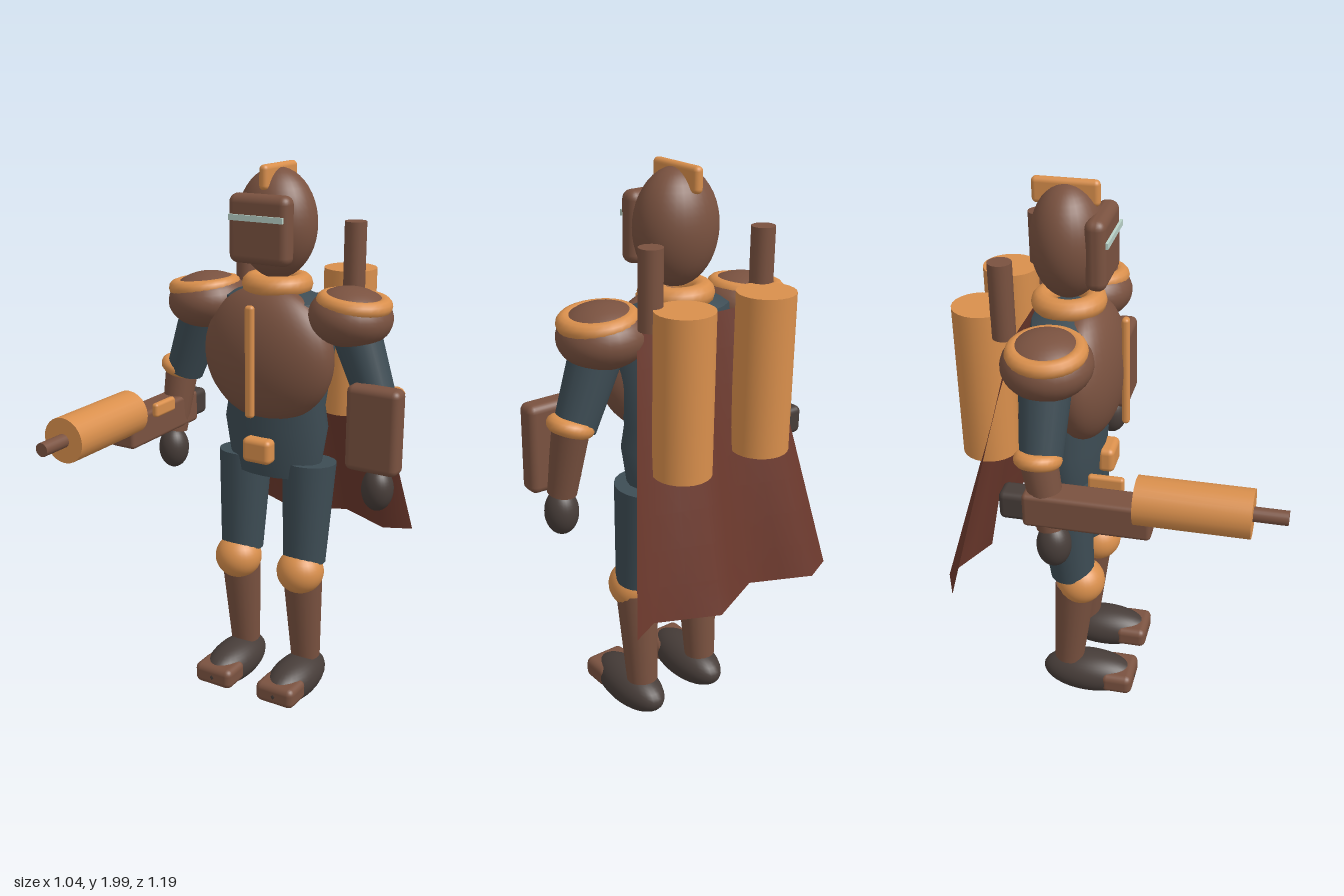
import * as THREE from 'three';
import { toCreasedNormals } from 'three/addons/utils/BufferGeometryUtils.js';
import { RoundedBoxGeometry } from 'three/addons/geometries/RoundedBoxGeometry.js';

function mat(name, color, side = THREE.FrontSide) {
  const m = new THREE.MeshStandardMaterial({ color, side });
  m.name = name;
  return m;
}

export function createModel() {
  const brown = mat('brown armour', 0x7a5240);
  const brass = mat('brass', 0xd98f4c);
  const slate = mat('slate suit', 0x3d4c54);
  const dark = mat('dark leather', 0x473d39);
  const red = mat('cape red', 0x6b382c, THREE.DoubleSide);
  const pale = mat('pale visor', 0xb9d2c8);

  const model = new THREE.Group();
  model.name = 'armouredSoldier';
  const CX = -0.012; // body axis

  function add(name, geo, material, x, y, z, parent = model) {
    const mesh = new THREE.Mesh(geo, material);
    mesh.name = name;
    mesh.position.set(x, y, z);
    parent.add(mesh);
    return mesh;
  }
  const ellipsoid = (rx, ry, rz, seg = 28) =>
    new THREE.SphereGeometry(1, seg, Math.round(seg * 0.7)).scale(rx, ry, rz);
  const ring = (r, tube) => new THREE.TorusGeometry(r, tube, 12, 28).rotateX(Math.PI / 2);
  const box = (w, h, d, r) => new RoundedBoxGeometry(w, h, d, 3, r);

  // Tapered cylinder between two points
  function limb(name, a, b, ra, rb, material, parent = model) {
    const p = new THREE.Vector3(...a), q = new THREE.Vector3(...b);
    const dir = p.clone().sub(q);
    const geo = new THREE.CylinderGeometry(ra, rb, dir.length(), 20);
    const mid = p.clone().add(q).multiplyScalar(0.5);
    const mesh = add(name, geo, material, mid.x, mid.y, mid.z, parent);
    mesh.quaternion.setFromUnitVectors(new THREE.Vector3(0, 1, 0), dir.normalize());
    return mesh;
  }

  // Torso and pelvis, flattened front to back
  const profile = [[0, 0.895], [0.175, 0.895], [0.205, 1.08], [0.192, 1.16], [0.235, 1.45],
    [0.205, 1.54], [0.09, 1.58], [0, 1.58]].map(([r, y]) => new THREE.Vector2(r, y));
  const torso = toCreasedNormals(new THREE.LatheGeometry(profile, 20).scale(1, 1, 0.58), 0.8);
  add('torso', torso, slate, CX, 0, -0.2);
  add('chestPlate', ellipsoid(0.255, 0.246, 0.125, 36), brown, CX, 1.345, -0.14);
  add('chestRidge', box(0.034, 0.4, 0.026, 0.012), brass, CX, 1.342, -0.01);
  add('beltBuckle', box(0.115, 0.092, 0.06, 0.02), brass, CX, 1.003, -0.073);
  add('collar', ring(0.088, 0.038), brass, CX, 1.588, -0.2);

  // Helmet
  add('helmet', ellipsoid(0.145, 0.19, 0.125, 32), brown, CX, 1.797, -0.195);
  add('facePlate', box(0.235, 0.235, 0.07, 0.03), brown, CX, 1.788, -0.086);
  add('visorSlit', new THREE.BoxGeometry(0.21, 0.02, 0.009), pale, CX, 1.828, -0.047);
  add('crest', box(0.034, 0.085, 0.222, 0.016), brass, CX, 1.9575, -0.2);

  // Paired parts
  for (const s of [-1, 1]) {
    const side = s > 0 ? 'left' : 'right';
    const X = (d) => CX + s * d;

    // Legs
    const leg = new THREE.Group();
    leg.name = side + 'Leg';
    model.add(leg);
    limb('thigh', [X(0.135), 0.945, -0.21], [X(0.135), 0.56, -0.182], 0.1, 0.08, slate, leg);
    limb('shin', [X(0.135), 0.51, -0.172], [X(0.135), 0.15, -0.206], 0.075, 0.056, brown, leg);
    add('knee', ellipsoid(0.089, 0.085, 0.088), brass, X(0.135), 0.525, -0.152, leg);
    add('boot', ellipsoid(0.087, 0.078, 0.18), dark, X(0.135), 0.086, -0.128, leg);
    add('toeCap', box(0.16, 0.08, 0.12, 0.025), brown, X(0.135), 0.088, -0.01, leg);

    // Arms
    const arm = new THREE.Group();
    arm.name = side + 'Arm';
    model.add(arm);
    limb('upperArm', [X(0.3), 1.48, -0.2], [X(0.4), 1.215, -0.2], 0.088, 0.07, slate, arm);
    const band = add('elbowBand', ring(0.052, 0.027), brass, X(0.418), 1.228, -0.205, arm);
    band.rotation.z = s * 0.3;
    limb('forearm', [X(0.415), 1.23, -0.205], [X(0.432), 0.985, -0.165], 0.062, 0.05, brown, arm);
    add('hand', ellipsoid(0.057, 0.08, 0.058), dark, X(0.432), 0.912, -0.16, arm);

    // Shoulder armour with trim
    const pauldron = add('pauldron', ellipsoid(0.148, 0.103, 0.149), brown, X(0.288), 1.5, -0.2, arm);
    pauldron.rotation.z = -s * 0.08;
    const trim = add('pauldronTrim', ring(0.103, 0.029), brass, X(0.303), 1.551, -0.196, arm);
    trim.rotation.z = -s * 0.1;

    // Back tanks and exhausts
    add('tank', new THREE.CylinderGeometry(0.096, 0.096, 0.535, 24), brass, X(0.163), 1.3525, -0.448);
    add('exhaust', new THREE.CylinderGeometry(0.039, 0.039, 0.255, 16), brown, X(0.222), 1.6725, -0.357);
  }

  // Left forearm shield
  add('forearmShield', box(0.197, 0.305, 0.077, 0.025), brown, 0.421, 1.143, -0.115);

  // Right forearm cannon
  const cannon = new THREE.Group();
  cannon.name = 'armCannon';
  cannon.position.set(-0.442, 0, 0);
  model.add(cannon);
  const tube = (r, len) => new THREE.CylinderGeometry(r, r, len, 24).rotateX(Math.PI / 2);
  add('cannonBody', box(0.106, 0.12, 0.42, 0.015), brown, 0, 1.065, -0.04, cannon);
  add('cannonRearCap', box(0.085, 0.1, 0.12, 0.02), dark, 0, 1.065, -0.27, cannon);
  add('cannonBarrel', tube(0.08, 0.37), brass, 0, 1.127, 0.3, cannon);
  add('cannonMuzzle', tube(0.024, 0.12), brown, 0, 1.127, 0.535, cannon);
  add('cannonSidePlate', box(0.026, 0.052, 0.12, 0.011), brass, 0.07, 1.128, 0.002, cannon);

  // Cape with folds that deepen towards the hem
  const cape = new THREE.PlaneGeometry(1, 1, 8, 8);
  const pos = cape.attributes.position;
  for (let i = 0; i < pos.count; i++) {
    const u = pos.getX(i) + 0.5, v = 0.5 - pos.getY(i);
    const half = THREE.MathUtils.lerp(0.25, 0.41, v);
    const fold = Math.sin(u * Math.PI * 4) * 0.047 * v;
    pos.setXYZ(i, (u - 0.5) * 2 * half, 1.54 - 0.93 * v, -0.33 - 0.217 * v - fold);
  }
  cape.computeVertexNormals();
  add('cape', cape, red, -0.01, 0, 0);

  return model;
}
